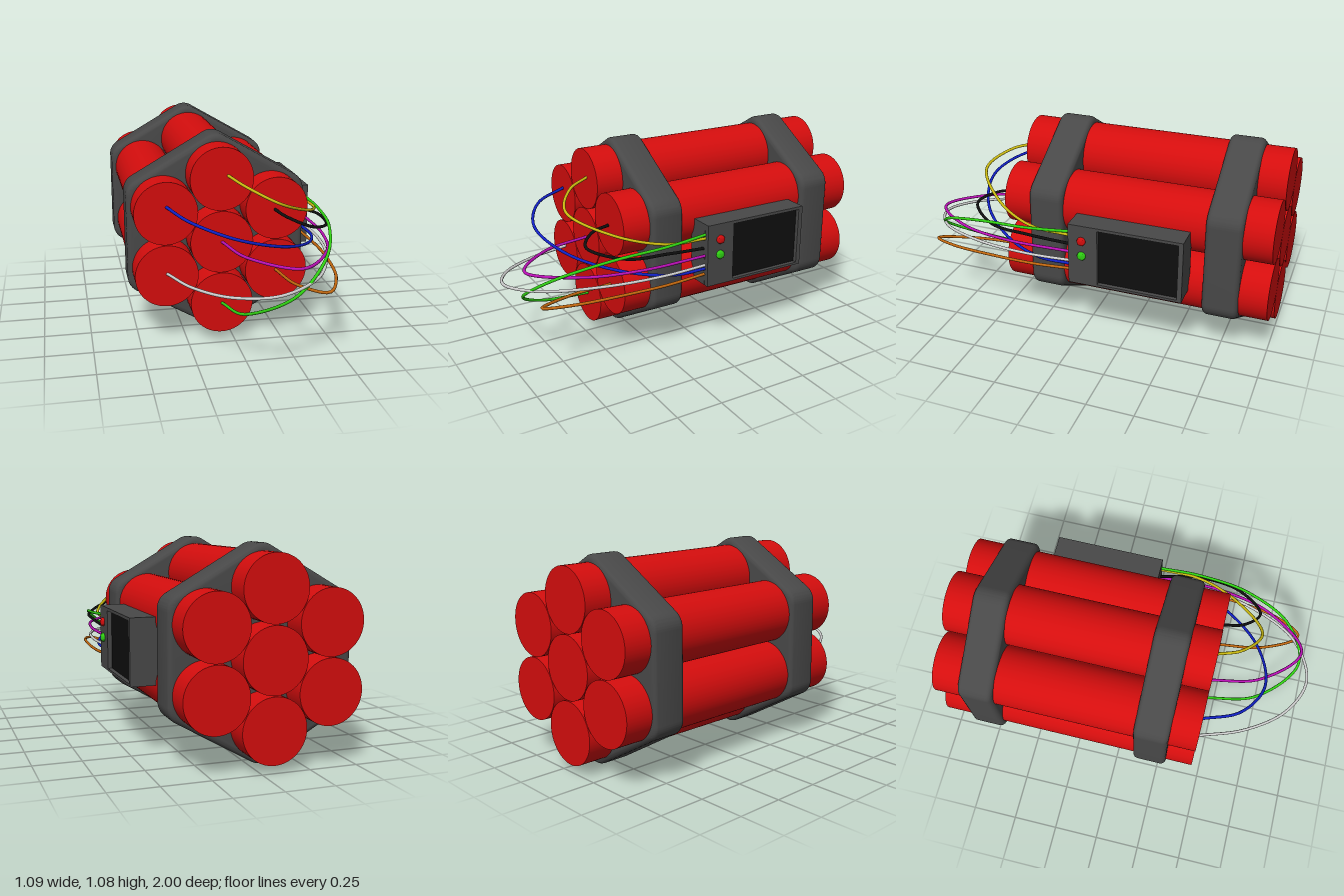
import * as THREE from 'three';
import { toCreasedNormals } from 'three/addons/utils/BufferGeometryUtils.js';

const CX = -0.064, CY = 0.541; // axis of the bundle

function material(name, color) {
  const m = new THREE.MeshStandardMaterial({ color });
  m.name = name;
  return m;
}

// Hexagon with rounded corners, point up
function hexShape(cornerDistance, radius) {
  const shape = new THREE.Shape();
  for (let i = 0; i < 6; i++) {
    const a = Math.PI / 2 + i * Math.PI / 3;
    shape.absarc(Math.cos(a) * cornerDistance, Math.sin(a) * cornerDistance, radius, a - Math.PI / 6, a + Math.PI / 6, false);
  }
  return shape;
}

function rectangle(target, x0, x1, y0, y1) {
  target.moveTo(x0, y0);
  target.lineTo(x1, y0);
  target.lineTo(x1, y1);
  target.lineTo(x0, y1);
  target.closePath();
  return target;
}

export function createModel() {
  const model = new THREE.Group();
  model.name = 'bundle';
  const mats = {
    red: material('red', 0xd40d0d),
    grey: material('dark grey', 0x484848),
    black: material('black', 0x0e0e0e),
    green: material('green', 0x2fd012),
    yellow: material('yellow', 0xc8b810),
    blue: material('blue', 0x1020c4),
    magenta: material('magenta', 0xb810b4),
    white: material('light grey', 0xcccccc),
    orange: material('orange', 0xc0660e),
  };
  const add = (name, geometry, mat, x = 0, y = 0, z = 0, parent = model) => {
    const mesh = new THREE.Mesh(geometry, mats[mat]);
    mesh.name = name;
    mesh.position.set(x, y, z);
    parent.add(mesh);
    return mesh;
  };

  // Seven sticks: one in the middle, six around it
  const stickGeo = new THREE.CylinderGeometry(0.166, 0.166, 1.45, 64).rotateX(Math.PI / 2);
  add('centreStick', stickGeo, 'red', CX, CY, -0.275);
  for (let i = 0; i < 6; i++) {
    const a = Math.PI / 2 + i * Math.PI / 3;
    add('outerStick', stickGeo, 'red', CX + Math.cos(a) * 0.336, CY + Math.sin(a) * 0.336, -0.275);
  }

  // Two rounded hexagonal straps
  const strapGeo = toCreasedNormals(new THREE.ExtrudeGeometry(hexShape(0.45, 0.06), {
    depth: 0.13, bevelThickness: 0.03, bevelSize: 0.03, bevelSegments: 5, curveSegments: 8,
  }), 0.6);
  add('frontStrap', strapGeo, 'grey', CX, CY, 0.14);
  add('backStrap', strapGeo, 'grey', CX, CY, -0.82);

  // Control box on the left side with a recessed screen
  const box = new THREE.Group();
  box.name = 'controlBox';
  model.add(box);
  add('boxBody', new THREE.BoxGeometry(0.13, 0.342, 0.615), 'grey', 0.43, 0.545, -0.277, box);
  const frame = rectangle(new THREE.Shape(), -0.03, 0.585, 0.374, 0.716);
  frame.holes.push(rectangle(new THREE.Path(), 0.13, 0.56, 0.387, 0.70));
  const frameGeo = new THREE.ExtrudeGeometry(frame, { depth: 0.029, bevelEnabled: false }).rotateY(Math.PI / 2);
  add('screenFrame', frameGeo, 'grey', 0.495, 0, 0, box);
  add('screen', new THREE.BoxGeometry(0.006, 0.313, 0.43), 'black', 0.498, 0.5435, -0.345, box);

  // Two domed indicator lights
  const lightProfile = [[0, 0], [0.023, 0], [0.023, 0.011], [0.020, 0.016], [0.013, 0.019], [0, 0.02]];
  const lightGeo = toCreasedNormals(
    new THREE.LatheGeometry(lightProfile.map(p => new THREE.Vector2(...p)), 24).rotateZ(-Math.PI / 2), 0.7);
  add('redLight', lightGeo, 'red', 0.522, 0.63, -0.045, box);
  add('greenLight', lightGeo, 'green', 0.522, 0.545, -0.045, box);

  // Wires: x,z path from a stick end to the box; height rises by slope along x
  const wires = [
    ['yellow', 0.895, -0.467, 0.638, [[-0.035, 0.44], [0.03, 0.575], [0.175, 0.665], [0.37, 0.50], [0.487, 0.265], [0.497, 0.02]]],
    ['black', 0.703, -0.315, 0.577, [[0.215, 0.44], [0.25, 0.56], [0.35, 0.64], [0.485, 0.49], [0.515, 0.26], [0.48, 0.02]]],
    ['blue', 0.745, -0.32, 0.468, [[-0.355, 0.44], [-0.26, 0.64], [-0.065, 0.745], [0.19, 0.665], [0.4, 0.44], [0.495, 0.21], [0.495, 0.02]]],
    ['magenta', 0.541, 0, 0.541, [[-0.064, 0.44], [0.01, 0.72], [0.225, 0.92], [0.42, 0.70], [0.495, 0.4], [0.495, 0.02]]],
    ['white', 0.385, 0.118, 0.488, [[-0.355, 0.44], [-0.26, 0.70], [-0.1, 0.91], [0.1, 0.99], [0.32, 0.87], [0.46, 0.58], [0.505, 0.28], [0.495, 0.02]]],
    ['green', 0.2, 0.774, 0.66, [[-0.065, 0.44], [0, 0.735], [0.2, 0.93], [0.375, 0.82], [0.48, 0.555], [0.51, 0.265], [0.495, 0.02]]],
    ['orange', 0.37, 0.22, 0.436, [[0.225, 0.44], [0.267, 0.71], [0.375, 0.9], [0.455, 0.76], [0.5, 0.45], [0.505, 0.24], [0.49, 0.02]]],
  ];
  for (const [color, startY, slope, endY, path] of wires) {
    const points = path.map(([x, z], i) => new THREE.Vector3(
      x, i === path.length - 1 ? endY : startY + slope * (x - path[0][0]), z));
    add(color + 'Wire', new THREE.TubeGeometry(new THREE.CatmullRomCurve3(points), 64, 0.008, 10), color);
  }
  return model;
}
